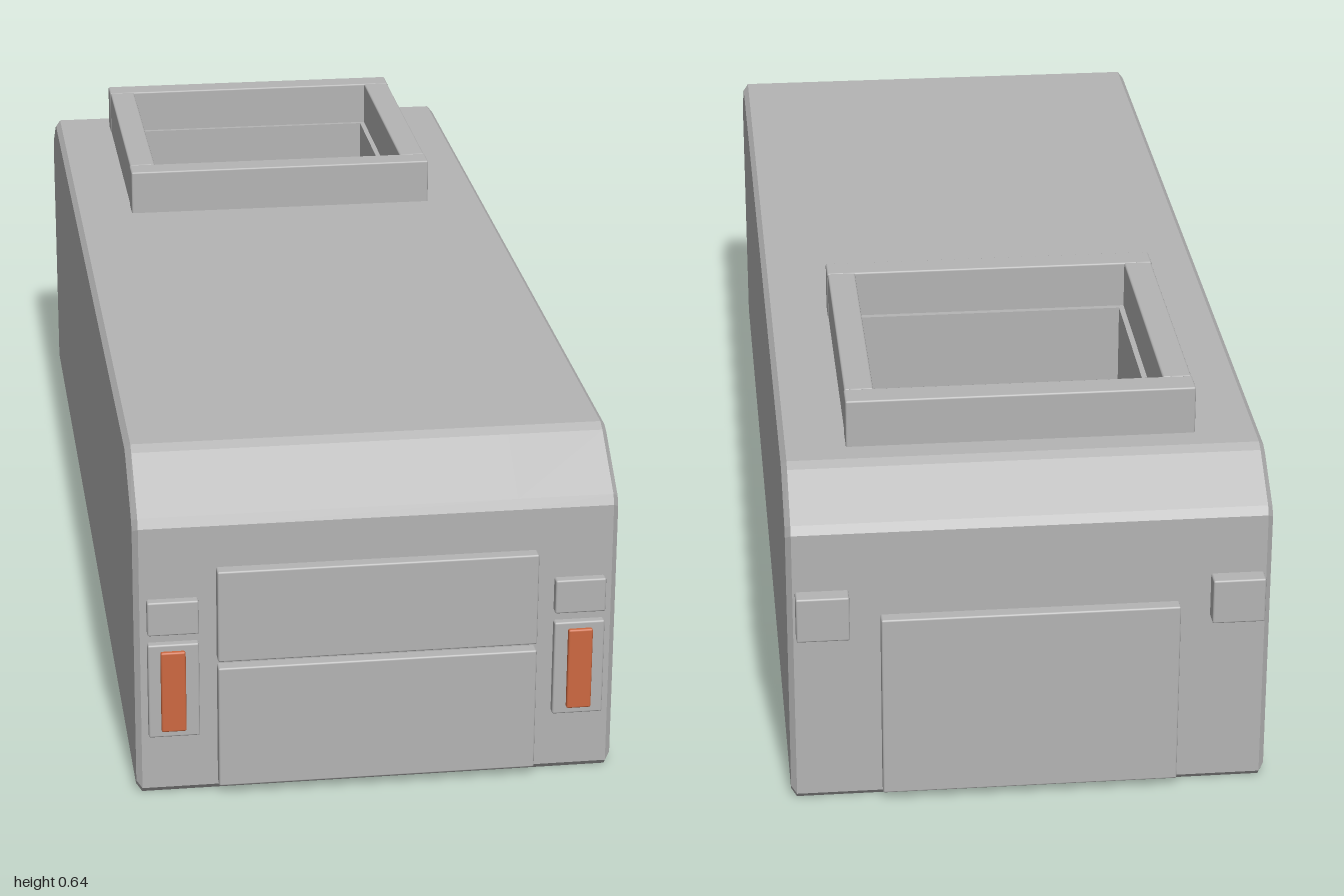
import * as THREE from 'three';
import { RoundedBoxGeometry } from 'three/addons/geometries/RoundedBoxGeometry.js';

const grey = new THREE.MeshStandardMaterial({ color: 0xb4b4b4 });
grey.name = 'grey casing';
const orange = new THREE.MeshStandardMaterial({ color: 0xcc6840 });
orange.name = 'orange lamp';

// Block with softened edges, given by its limits on each axis
function block(name, [x0, x1], [y0, y1], [z0, z1], material = grey) {
  const geometry = new RoundedBoxGeometry(x1 - x0, y1 - y0, z1 - z0, 1, 0.003);
  const mesh = new THREE.Mesh(geometry, material);
  mesh.position.set((x0 + x1) / 2, (y0 + y1) / 2, (z0 + z1) / 2);
  mesh.name = name;
  return mesh;
}

// Casing: a side profile swept across x, with an open well sunk into its top
function bodyGeometry() {
  const wx = 0.225, zf = -0.322, zb = -0.768, top = 0.56, floor = 0.08;
  // (z, y) from the lower front edge, over the top, to the lower back edge
  const profile = [
    [0.966, 0], [0.975, 0.01], [0.975, 0.465], [0.968, 0.481], [0.872, 0.552], [0.855, top],
    [zf, top], [zb, top],
    [-0.865, top], [-0.882, 0.553], [-0.965, 0.496], [-0.973, 0.482], [-0.973, 0.01], [-0.964, 0],
  ];
  const wellSpan = 6;
  const stations = [[-0.388, 0.01], [-0.379, 0], [-wx, 0], [wx, 0], [0.379, 0], [0.388, 0.01]];
  const rings = stations.map(([x, inset]) => profile.map(([z, y]) =>
    [x, 0.28 + (y - 0.28) * (1 - inset / 0.28), z * (1 - inset / 0.975)]));
  const positions = [];
  const tri = (a, b, c) => positions.push(...a, ...b, ...c);
  const quad = (a, b, c, d) => { tri(a, b, c); tri(a, c, d); };
  const n = profile.length;

  for (let s = 0; s < rings.length - 1; s++) {
    const a = rings[s], b = rings[s + 1];
    for (let i = 0; i < n; i++) {
      if (s === 2 && i === wellSpan) continue;
      const j = (i + 1) % n;
      quad(a[i], b[i], b[j], a[j]);
    }
  }
  // Flat sides
  const right = rings[0], left = rings[rings.length - 1];
  for (let k = 1; k < n - 1; k++) {
    tri(right[0], right[k], right[k + 1]);
    tri(left[0], left[k + 1], left[k]);
  }
  // Well walls and floor, facing inwards
  const corners = [[-wx, zf], [wx, zf], [wx, zb], [-wx, zb]];
  corners.forEach(([x, z], i) => {
    const [u, w] = corners[(i + 1) % 4];
    quad([x, top, z], [u, top, w], [u, floor, w], [x, floor, z]);
  });
  quad(...corners.map(([x, z]) => [x, floor, z]));

  const geometry = new THREE.BufferGeometry();
  geometry.setAttribute('position', new THREE.Float32BufferAttribute(positions, 3));
  geometry.computeVertexNormals();
  return geometry;
}

export function createModel() {
  const model = new THREE.Group();
  model.name = 'casing';

  const body = new THREE.Mesh(bodyGeometry(), grey);
  body.name = 'body';
  model.add(body);

  // Raised frame around the well
  const rim = new THREE.Group();
  rim.name = 'rim';
  const rimY = [0.55, 0.64];
  rim.add(
    block('rimFront', [-0.282, 0.282], rimY, [-0.312, -0.265]),
    block('rimBack', [-0.282, 0.282], rimY, [-0.823, -0.776]),
    block('rimLeft', [0.234, 0.281], rimY, [-0.778, -0.31]),
    block('rimRight', [-0.281, -0.234], rimY, [-0.778, -0.31]),
  );
  model.add(rim);

  // Front and back panels
  model.add(
    block('frontUpperPanel', [-0.257, 0.257], [0.237, 0.394], [0.96, 0.996]),
    block('frontLowerPanel', [-0.257, 0.257], [0.016, 0.226], [0.96, 0.996]),
    block('backPanel', [-0.24, 0.24], [0.016, 0.335], [-0.994, -0.96]),
  );

  // Lamps and small blocks, mirrored
  for (const [side, s] of [['left', 1], ['right', -1]]) {
    const span = (a, b) => (s > 0 ? [a, b] : [-b, -a]);
    model.add(
      block(side + 'FrontBlock', span(0.286, 0.368), [0.286, 0.344], [0.96, 0.99]),
      block(side + 'LampHousing', span(0.286, 0.368), [0.106, 0.269], [0.96, 0.988]),
      block(side + 'Lamp', span(0.308, 0.348), [0.118, 0.258], [0.97, 0.995], orange),
      block(side + 'BackBlock', span(0.29, 0.375), [0.305, 0.382], [-1, -0.96]),
    );
  }
  return model;
}
